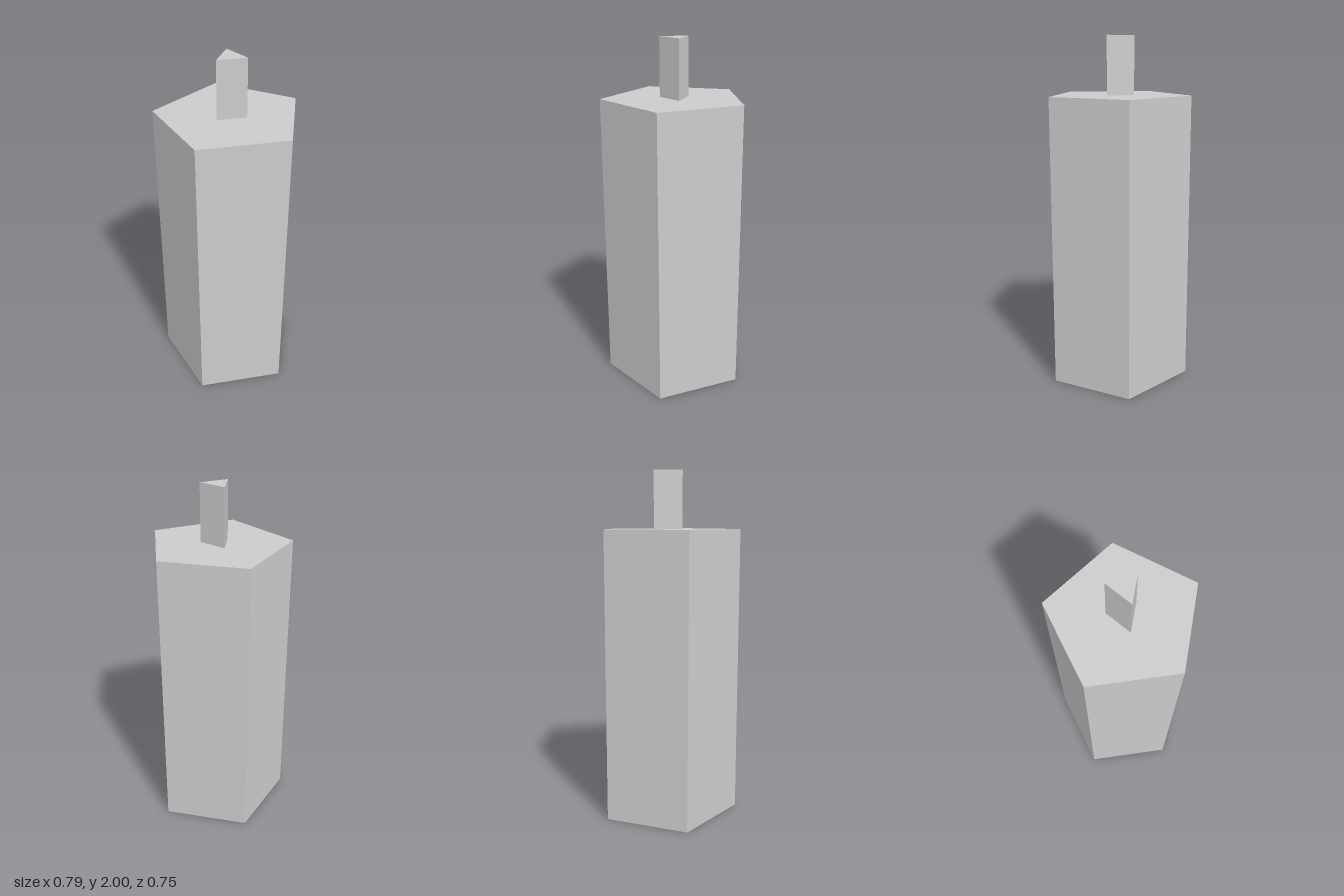
import * as THREE from 'three';

const BODY_RADIUS = 0.417;
const BODY_HEIGHT = 1.672;
const WICK_RADIUS = 0.094;
const TOTAL_HEIGHT = 2;

// Upright prism with one corner pointing to the back
function prism(name, sides, radius, bottom, top, material) {
  const geometry = new THREE.CylinderGeometry(radius, radius, top - bottom, sides, 1, false, Math.PI);
  const mesh = new THREE.Mesh(geometry, material);
  mesh.name = name;
  mesh.position.y = (bottom + top) / 2;
  return mesh;
}

export function createModel() {
  const material = new THREE.MeshStandardMaterial({ color: 0xcccccc, flatShading: true });
  const candle = new THREE.Group();
  candle.name = 'candle';

  // Five-sided wax body and three-sided wick on the same axis
  candle.add(prism('waxBody', 5, BODY_RADIUS, 0, BODY_HEIGHT, material));
  candle.add(prism('wick', 3, WICK_RADIUS, BODY_HEIGHT, TOTAL_HEIGHT, material));

  // Shift the pentagon so its depth is centred on z = 0
  candle.position.z = BODY_RADIUS * (1 - Math.cos(Math.PI / 5)) / 2;

  const model = new THREE.Group();
  model.name = 'candleModel';
  model.add(candle);
  return model;
}
